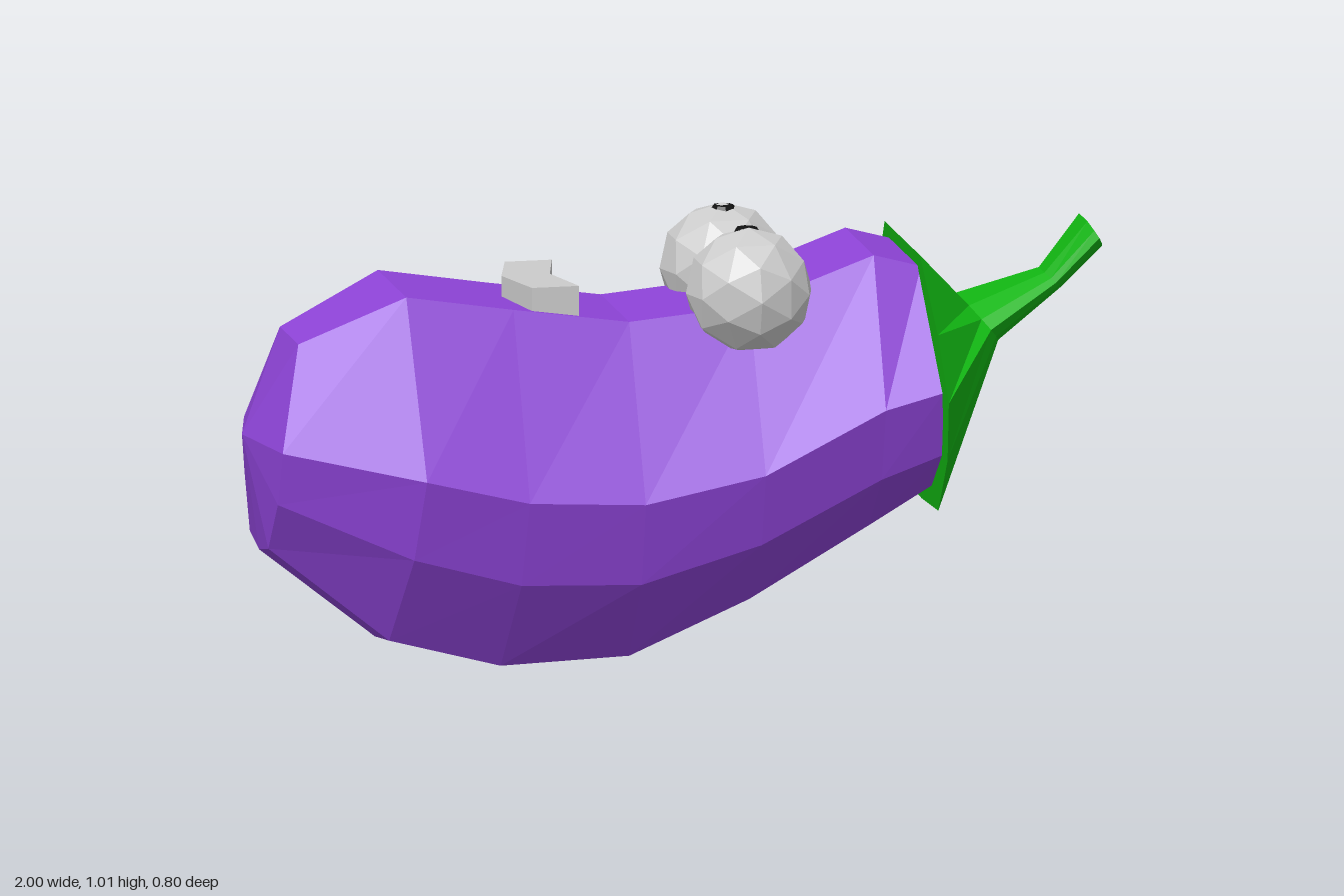
import * as THREE from 'three';

const material = (color) => new THREE.MeshStandardMaterial({ color, flatShading: true });

function addMesh(parent, name, geometry, mat) {
  const mesh = new THREE.Mesh(geometry, mat);
  mesh.name = name;
  parent.add(mesh);
  return mesh;
}

// Completes a ring from its half outline: bottom centre first, then up the side.
function mirrorRing(half) {
  const far = half.map(([x, y, z]) => [x, y, -z]);
  return [...far, ...half.slice(1).reverse()];
}

// Skins rings that follow each other along +x and closes both ends to a point.
function loft(rings, startTip, endTip) {
  const n = rings[0].length;
  const points = [...rings.flat(), startTip, endTip];
  const start = points.length - 2, end = points.length - 1;
  const index = [];
  for (let j = 0; j < n; j++) {
    const k = (j + 1) % n;
    for (let i = 0; i < rings.length - 1; i++) {
      const a = i * n + j, b = i * n + k;
      index.push(a, b, a + n, b, b + n, a + n);
    }
    const last = (rings.length - 1) * n;
    index.push(start, k, j, end, last + j, last + k);
  }
  const geometry = new THREE.BufferGeometry();
  geometry.setAttribute('position', new THREE.Float32BufferAttribute(points.flat(), 3));
  geometry.setIndex(index);
  const flat = geometry.toNonIndexed();
  flat.computeVertexNormals();
  return flat;
}

export function createModel() {
  const group = new THREE.Group();
  const purple = material(0x8e44d8);
  const green = material(0x11b512);
  const grey = material(0xcccccc);
  const black = material(0x111111);

  // Curved body: each section gives x and y of bottom, lower side, middle and top
  const sections = [
    { x: [-0.96, -0.955, -0.95, -0.89], y: [0.29, 0.43, 0.555, 0.785], z: [0.1, 0.18, 0.21, 0.1] },
    { x: [-0.69, -0.66, -0.64, -0.65], y: [0.075, 0.31, 0.5, 0.895] },
    { x: [-0.43, -0.41, -0.4, -0.4], y: [0.005, 0.24, 0.44, 0.855] },
    { x: [-0.13, -0.13, -0.13, -0.13], y: [0.015, 0.23, 0.425, 0.815] },
    { x: [0.15, 0.15, 0.15, 0.15], y: [0.135, 0.31, 0.48, 0.84] },
    { x: [0.43, 0.43, 0.43, 0.44], y: [0.295, 0.45, 0.62, 0.945] },
    { x: [0.575, 0.57, 0.565, 0.55], y: [0.38, 0.5, 0.655, 0.915] },
  ];
  const bodyRings = sections.map(({ x, y, z = [0.155, 0.29, 0.335, 0.155] }) =>
    mirrorRing([
      [x[0], y[0], 0],
      [x[0], y[0] + 0.022, z[0]],
      [x[1], y[1], z[1]],
      [x[2], y[2], z[2]],
      [x[3], y[3], z[3]],
    ]));
  addMesh(group, 'body', loft(bodyRings, [-1, 0.56, 0], [0.565, 0.65, 0]), purple);

  // Cap flaring from the stem: tilted eleven-sided rings given by bottom, top, half width
  const across = [0, 0.46, 0.84, 1, 0.83, 0.48];
  const upward = [0, 0.015, 0.26, 0.5, 0.74, 1];
  const stemRings = [
    [[0.585, 0.34], [0.54, 0.948], 0.4],
    [[0.75, 0.715], [0.68, 0.8], 0.15],
    [[0.905, 0.825], [0.865, 0.86], 0.065],
    [[0.997, 0.918], [0.962, 0.978], 0.095],
  ].map(([low, high, width]) =>
    mirrorRing(across.map((w, i) => [
      THREE.MathUtils.lerp(low[0], high[0], upward[i]),
      THREE.MathUtils.lerp(low[1], high[1], upward[i]),
      w * width,
    ])));
  addMesh(group, 'capAndStem', loft(stemRings, [0.563, 0.645, 0], [0.98, 0.948, 0]), green);

  // Eyes looking up, with flattened pupils
  for (const [side, z, pupilZ] of [['front', 0.14, 0.115], ['back', -0.145, -0.138]]) {
    const eye = addMesh(group, side + 'Eye', new THREE.IcosahedronGeometry(0.147, 1), grey);
    eye.position.set(0.152, 0.872, z);
    const pupil = addMesh(group, side + 'Pupil',
      new THREE.CylinderGeometry(0.024, 0.045, 0.035, 8), black);
    pupil.position.set(0.152, 0.997, pupilZ);
  }

  // Bent mouth bar
  const outline = [
    [-0.355, 0.145], [-0.245, 0.145], [-0.282, 0], [-0.245, -0.15], [-0.355, -0.15], [-0.395, 0],
  ];
  const mouthShape = new THREE.Shape(outline.map(([x, z]) => new THREE.Vector2(x, -z)));
  const mouth = addMesh(group, 'mouth',
    new THREE.ExtrudeGeometry(mouthShape, { depth: 0.08, bevelEnabled: false }), grey);
  mouth.rotation.x = -Math.PI / 2;
  mouth.position.y = 0.822;

  return group;
}
